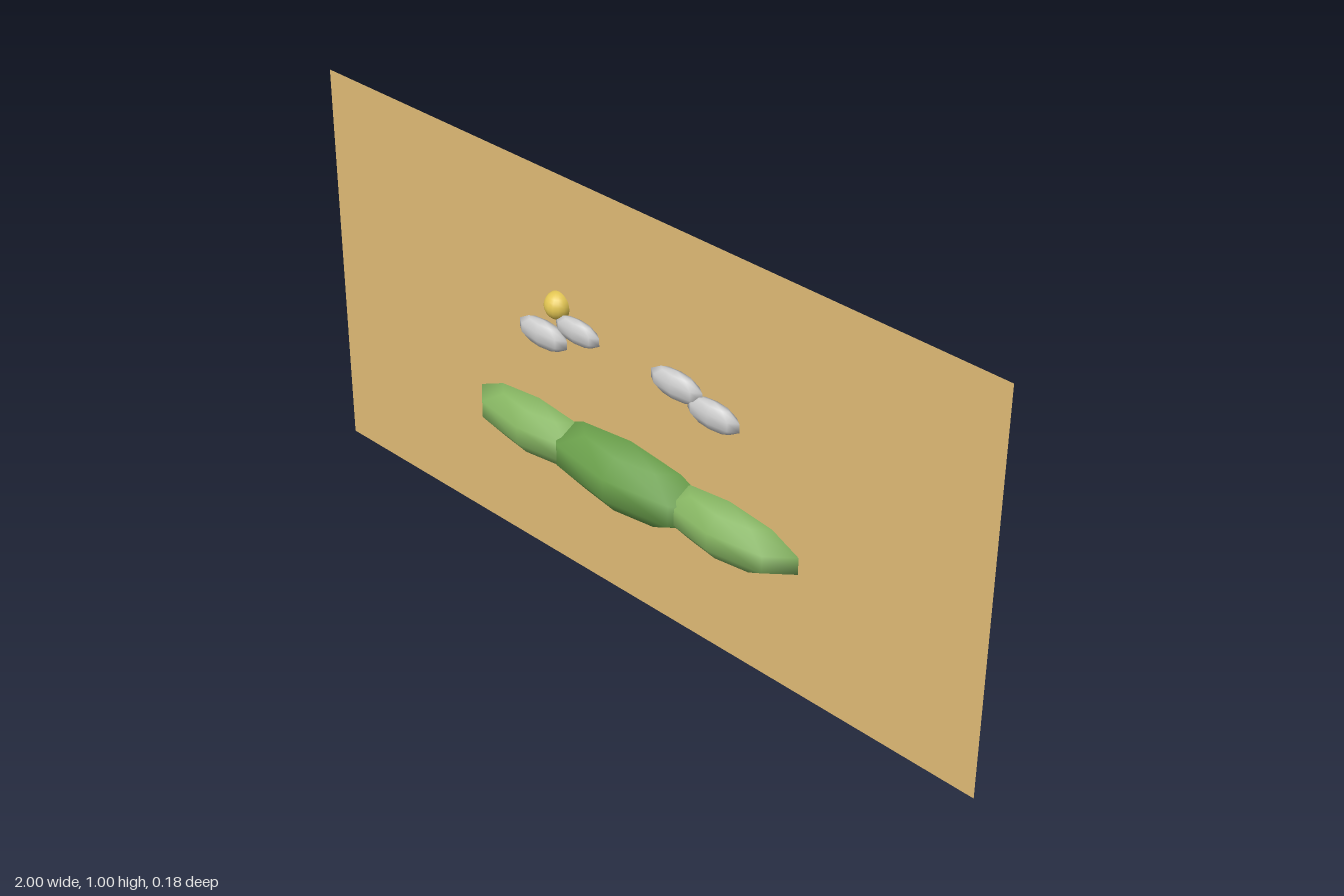
import * as THREE from 'three';

const mat = (color, side = THREE.FrontSide) => new THREE.MeshStandardMaterial({ color, side });

// Low-poly smooth ellipsoid, poles along y
function blob(name, material, [x, y, z], [rx, ry, rz], segments = 8, rings = 5) {
  const mesh = new THREE.Mesh(new THREE.SphereGeometry(1, segments, rings), material);
  mesh.name = name;
  mesh.position.set(x, y, z);
  mesh.scale.set(rx, ry, rz);
  return mesh;
}

export function createModel() {
  const model = new THREE.Group();
  model.name = 'backdropScene';

  // Thin upright backdrop, visible from both sides
  const panel = new THREE.Mesh(new THREE.PlaneGeometry(2, 1), mat(0xdeb974, THREE.DoubleSide));
  panel.name = 'backdropPanel';
  panel.position.y = 0.5;
  model.add(panel);

  // Row of three overlapping bushes
  const bushes = new THREE.Group();
  bushes.name = 'bushes';
  bushes.add(blob('middleBush', mat(0x6a9f4b), [0, 0.333, 0], [0.262, 0.0875, 0.095]));
  const sideGreen = mat(0x86b562);
  for (const s of [-1, 1]) {
    bushes.add(blob(s > 0 ? 'leftBush' : 'rightBush', sideGreen, [s * 0.3, 0.333, 0], [0.21, 0.07, 0.076]));
  }
  model.add(bushes);

  // Two pairs of cloud puffs, just in front of the panel
  const clouds = new THREE.Group();
  clouds.name = 'clouds';
  const cloudGrey = mat(0xcccccc);
  const puffs = [
    [-0.265, 0.594, 0.081, 0.035, 0.023],
    [-0.153, 0.644, 0.072, 0.031, 0.019],
    [0.151, 0.638, 0.08, 0.035, 0.022],
    [0.26, 0.61, 0.079, 0.035, 0.022],
  ];
  for (const [x, y, rx, ry, rz] of puffs) {
    clouds.add(blob('cloudPuff', cloudGrey, [x, y, 0.015], [rx, ry, rz]));
  }
  model.add(clouds);

  // Sun, half set into the panel
  model.add(blob('sun', mat(0xe3c653), [-0.228, 0.677, 0], [0.034, 0.034, 0.034], 16, 12));

  return model;
}
